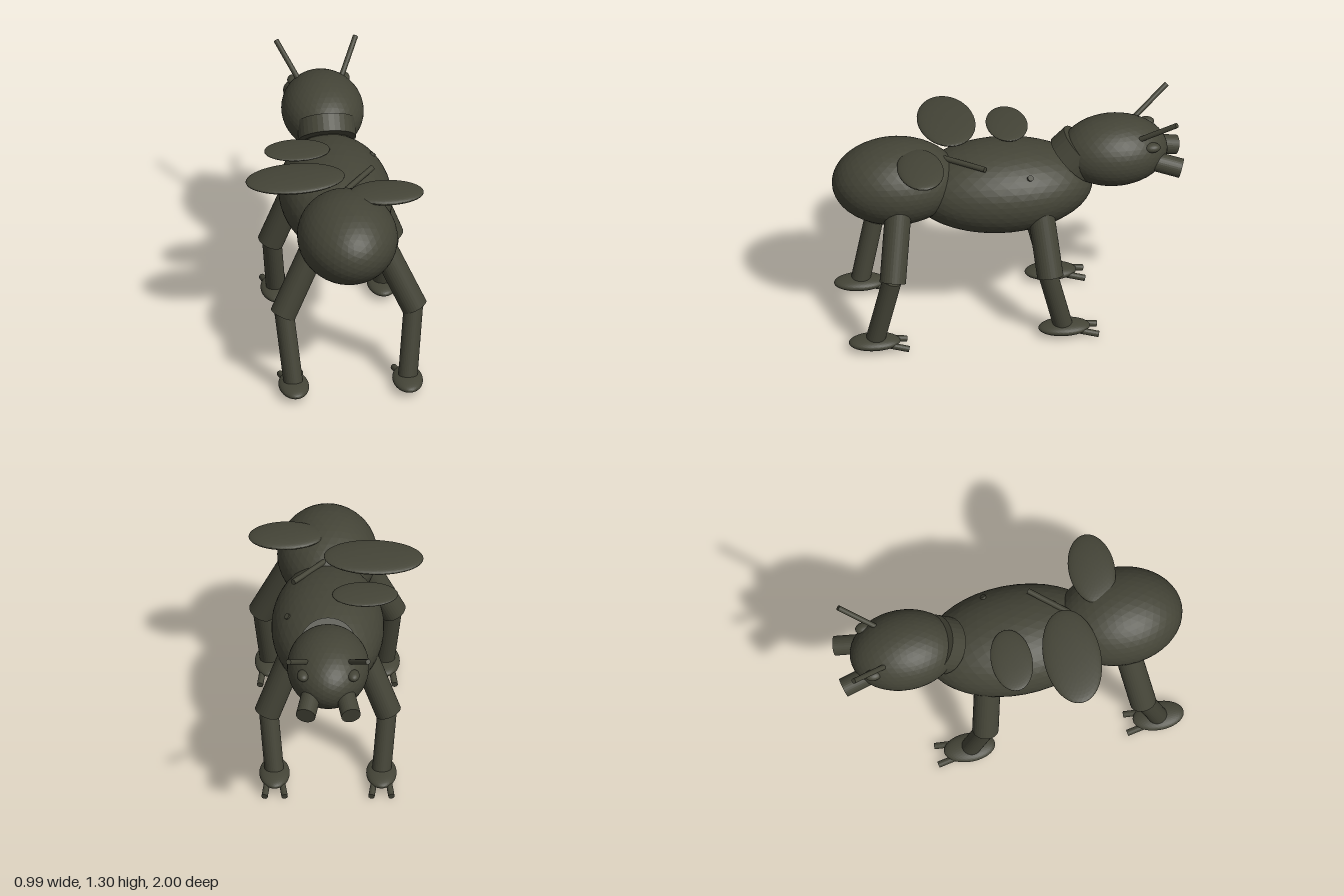
import * as THREE from 'three';

const CX = 0.044; // body axis, offset by the uneven wings

export function createModel() {
  const model = new THREE.Group();
  model.name = 'insect';
  const darkOlive = new THREE.MeshStandardMaterial({ color: 0x444437 });
  darkOlive.name = 'darkOlive';
  darkOlive.flatShading = true;
  const ball = new THREE.IcosahedronGeometry(1, 7);

  function add(name, geometry) {
    const mesh = new THREE.Mesh(geometry, darkOlive);
    mesh.name = name;
    model.add(mesh);
    return mesh;
  }

  // ellipsoid given by centre and radii
  function ellipsoid(name, centre, radii) {
    const mesh = add(name, ball);
    mesh.position.set(...centre);
    mesh.scale.set(...radii);
    return mesh;
  }

  // closed cylinder between two points
  function rod(name, from, to, radius) {
    const a = new THREE.Vector3(...from);
    const b = new THREE.Vector3(...to);
    const dir = b.clone().sub(a);
    const mesh = add(name, new THREE.CylinderGeometry(radius, radius, dir.length(), 32));
    mesh.position.copy(a).add(b).multiplyScalar(0.5);
    mesh.quaternion.setFromUnitVectors(new THREE.Vector3(0, 1, 0), dir.normalize());
    return mesh;
  }

  // body, the head pointing to -z
  ellipsoid('abdomen', [CX, 0.915, 0.635], [0.285, 0.24, 0.363]);
  ellipsoid('thorax', [CX, 0.84, 0.03], [0.32, 0.256, 0.52]);
  ellipsoid('head', [CX, 1.024, -0.612], [0.233, 0.199, 0.307]);
  rod('neck', [CX, 0.972, -0.37], [CX, 1.045, -0.445], 0.165);

  // wings, lying unevenly over the back
  ellipsoid('largeWing', [-0.217, 1.122, 0.312], [0.283, 0.032, 0.164]).rotation.z = 0.03;
  ellipsoid('rearWing', [0.28, 1.122, 0.524], [0.212, 0.032, 0.132]).rotation.z = -0.02;
  ellipsoid('smallWing', [-0.168, 1.108, -0.028], [0.187, 0.02, 0.118]);

  // loose bristles on the back
  rod('backBristle', [0.05, 1.055, 0.38], [0.24, 1.068, 0.148], 0.016);
  rod('sideBristle', [0.22, 0.95, -0.08], [0.278, 1.015, -0.108], 0.017);

  for (const s of [1, -1]) {
    const side = s > 0 ? 'left' : 'right';
    const p = (x, y, z) => [CX + s * x, y, z];

    // face
    rod(side + 'Antenna', p(0.125, 1.155, -0.75), p(0.226, 1.295, -0.945), 0.015);
    rod(side + 'Mandible', p(0.09, 0.995, -0.8), p(0.129, 0.946, -0.983), 0.056);
    ellipsoid(side + 'Eye', p(0.143, 1.106, -0.815), [0.035, 0.027, 0.047]);

    // legs: hip, knee ends, ankle, foot
    const legs = [
      { name: 'FrontLeg', hip: [0.2, 0.8, -0.165], knee: [0.343, 0.415, -0.206],
        shin: [0.338, 0.44, -0.19], ankle: [0.303, 0.05, -0.287], foot: [0.303, 0.053, -0.29] },
      { name: 'RearLeg', hip: [0.185, 0.88, 0.64], knee: [0.375, 0.468, 0.7],
        shin: [0.369, 0.48, 0.703], ankle: [0.325, 0.05, 0.797], foot: [0.325, 0.053, 0.797] },
    ];
    for (const leg of legs) {
      const [fx, fy, fz] = leg.foot;
      rod(side + leg.name + 'Thigh', p(...leg.hip), p(...leg.knee), 0.075);
      rod(side + leg.name + 'Shin', p(...leg.shin), p(...leg.ankle), 0.055);
      ellipsoid(side + leg.name + 'Foot', p(fx, fy, fz), [0.086, 0.037, 0.147]);
      for (const t of [1, -1]) {
        rod(side + leg.name + 'Claw', p(fx + t * 0.04, 0.048, fz - 0.07),
          p(fx + t * 0.057, 0.022, fz - 0.19), 0.018);
      }
    }
  }
  return model;
}
